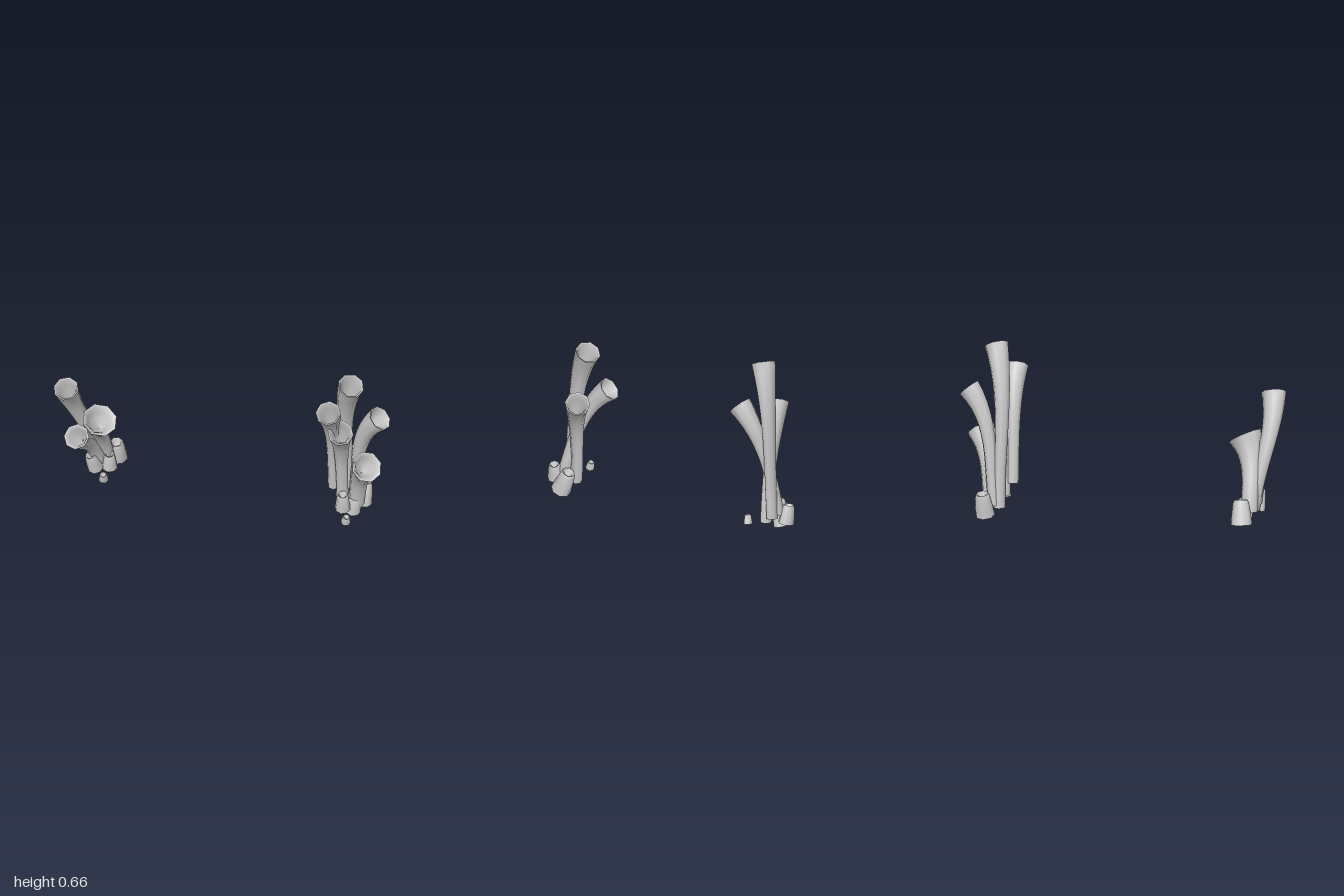
import * as THREE from 'three';
import { mergeGeometries } from 'three/addons/utils/BufferGeometryUtils.js';

const SIDES = 8;
const material = new THREE.MeshStandardMaterial({ color: 0xcccccc, side: THREE.DoubleSide });

// Skin a run of rings: each ring is { t, r } along the curve
function loft(curve, rings) {
  const pos = [], index = [];
  for (const { t, r } of rings) {
    const c = curve.getPoint(t), up = curve.getTangent(t);
    const z = new THREE.Vector3(0, 0, 1).addScaledVector(up, -up.z).normalize();
    const x = new THREE.Vector3().crossVectors(up, z);
    for (let i = 0; i < SIDES; i++) {
      const a = ((i + 0.5) / SIDES) * Math.PI * 2;
      const p = c.clone().addScaledVector(z, Math.cos(a) * r).addScaledVector(x, Math.sin(a) * r);
      pos.push(p.x, p.y, p.z);
    }
  }
  for (let k = 0; k < rings.length - 1; k++)
    for (let i = 0; i < SIDES; i++) {
      const a = k * SIDES + i, b = k * SIDES + (i + 1) % SIDES;
      index.push(a, b, b + SIDES, a, b + SIDES, a + SIDES);
    }
  const g = new THREE.BufferGeometry();
  g.setAttribute('position', new THREE.Float32BufferAttribute(pos, 3));
  g.setIndex(index);
  g.computeVertexNormals();
  return g;
}

// Curved stem flaring into a hollow trumpet mouth
function trumpet([base, mouth, dir, rBase, rMouth]) {
  const p0 = new THREE.Vector3(...base), p3 = new THREE.Vector3(...mouth);
  const chord = p3.clone().sub(p0), len = chord.length();
  const start = chord.normalize().add(new THREE.Vector3(0, 1, 0)).normalize();
  const end = new THREE.Vector3(...dir).normalize();
  const curve = new THREE.CubicBezierCurve3(p0,
    p0.clone().addScaledVector(start, len * 0.38),
    p3.clone().addScaledVector(end, -len * 0.35), p3);
  const outer = [];
  for (let i = 0; i <= 12; i++) {
    const t = i / 12;
    outer.push({ t, r: rBase + (rMouth - rBase) * Math.pow(t, 3) });
  }
  const inner = [
    { t: 1, r: rMouth }, { t: 0.995, r: rMouth * 0.86 }, { t: 0.93, r: rMouth * 0.68 },
    { t: 0.82, r: rMouth * 0.45 }, { t: 0.7, r: 0 },
  ];
  return mergeGeometries([loft(curve, outer), loft(curve, inner)]);
}

// Short tapered stub with a rounded lip and a dimple on top
function stub([base, top, r]) {
  const curve = new THREE.LineCurve3(new THREE.Vector3(...base), new THREE.Vector3(...top));
  return mergeGeometries([
    loft(curve, [{ t: 0, r }, { t: 0.5, r: r * 0.87 }, { t: 0.9, r: r * 0.73 }, { t: 1, r: r * 0.6 }]),
    loft(curve, [{ t: 1, r: r * 0.6 }, { t: 0.98, r: r * 0.45 }, { t: 0.75, r: r * 0.35 }, { t: 0.7, r: 0 }]),
  ]);
}

// trumpets: base, mouth centre, mouth direction, base radius, mouth radius
// stubs: base, top, base radius
const clusters = {
  rightCluster: {
    trumpets: [
      [[-0.865, 0.09, -0.215], [-0.956, 0.505, -0.118], [-0.08, 0.85, 0.48], 0.025, 0.045],
      [[-0.875, 0.11, -0.205], [-0.94, 0.315, -0.08], [-0.22, 0.75, 0.6], 0.026, 0.047],
      [[-0.845, 0.09, -0.235], [-0.852, 0.345, -0.125], [0.27, 0.82, 0.52], 0.03, 0.064],
    ],
    stubs: [
      [[-0.805, 0.055, -0.268], [-0.805, 0.142, -0.245], 0.039],
      [[-0.838, 0.06, -0.205], [-0.835, 0.128, -0.195], 0.03],
      [[-0.89, 0.075, -0.19], [-0.905, 0.152, -0.17], 0.03],
      [[-0.865, 0.05, -0.148], [-0.865, 0.083, -0.132], 0.019],
    ],
  },
  middleCluster: {
    trumpets: [
      [[0.02, 0.04, 0.105], [0.01, 0.645, 0.215], [0.1, 0.85, 0.48], 0.023, 0.045],
      [[-0.035, 0.13, 0.12], [-0.072, 0.555, 0.238], [-0.2, 0.8, 0.52], 0.022, 0.044],
      [[-0.005, 0.08, 0.13], [-0.032, 0.475, 0.252], [-0.1, 0.75, 0.65], 0.023, 0.045],
      [[0.04, 0.05, 0.11], [0.115, 0.485, 0.205], [0.5, 0.72, 0.42], 0.022, 0.045],
      [[0.045, 0.06, 0.145], [0.063, 0.305, 0.245], [0.2, 0.7, 0.65], 0.031, 0.056],
    ],
    stubs: [
      [[-0.01, 0.06, 0.17], [-0.012, 0.137, 0.185], 0.029],
      [[0.03, 0.03, 0.155], [0.038, 0.098, 0.165], 0.03],
      [[0.075, 0.016, 0.1], [0.088, 0.105, 0.088], 0.038],
      [[-0.005, 0.025, 0.208], [-0.005, 0.058, 0.22], 0.018],
    ],
  },
  leftCluster: {
    trumpets: [
      [[0.865, 0.06, 0.1], [0.866, 0.635, 0.142], [0.06, 0.9, 0.38], 0.022, 0.045],
      [[0.888, 0.035, 0.127], [0.823, 0.468, 0.215], [-0.15, 0.82, 0.5], 0.022, 0.045],
      [[0.84, 0.07, 0.11], [0.957, 0.478, 0.16], [0.5, 0.75, 0.38], 0.022, 0.044],
    ],
    stubs: [
      [[0.825, 0.012, 0.145], [0.84, 0.108, 0.163], 0.038],
      [[0.815, 0.035, 0.1], [0.802, 0.105, 0.105], 0.03],
      [[0.953, 0.05, 0.082], [0.952, 0.083, 0.09], 0.017],
    ],
  },
};

export function createModel() {
  const model = new THREE.Group();
  model.name = 'trumpetClusters';
  for (const [name, { trumpets, stubs }] of Object.entries(clusters)) {
    const group = new THREE.Group();
    group.name = name;
    const add = (geometry, part) => {
      const mesh = new THREE.Mesh(geometry, material);
      mesh.name = part;
      group.add(mesh);
    };
    trumpets.forEach((spec, i) => add(trumpet(spec), `trumpet${i + 1}`));
    stubs.forEach((spec, i) => add(stub(spec), `stub${i + 1}`));
    model.add(group);
  }
  return model;
}
